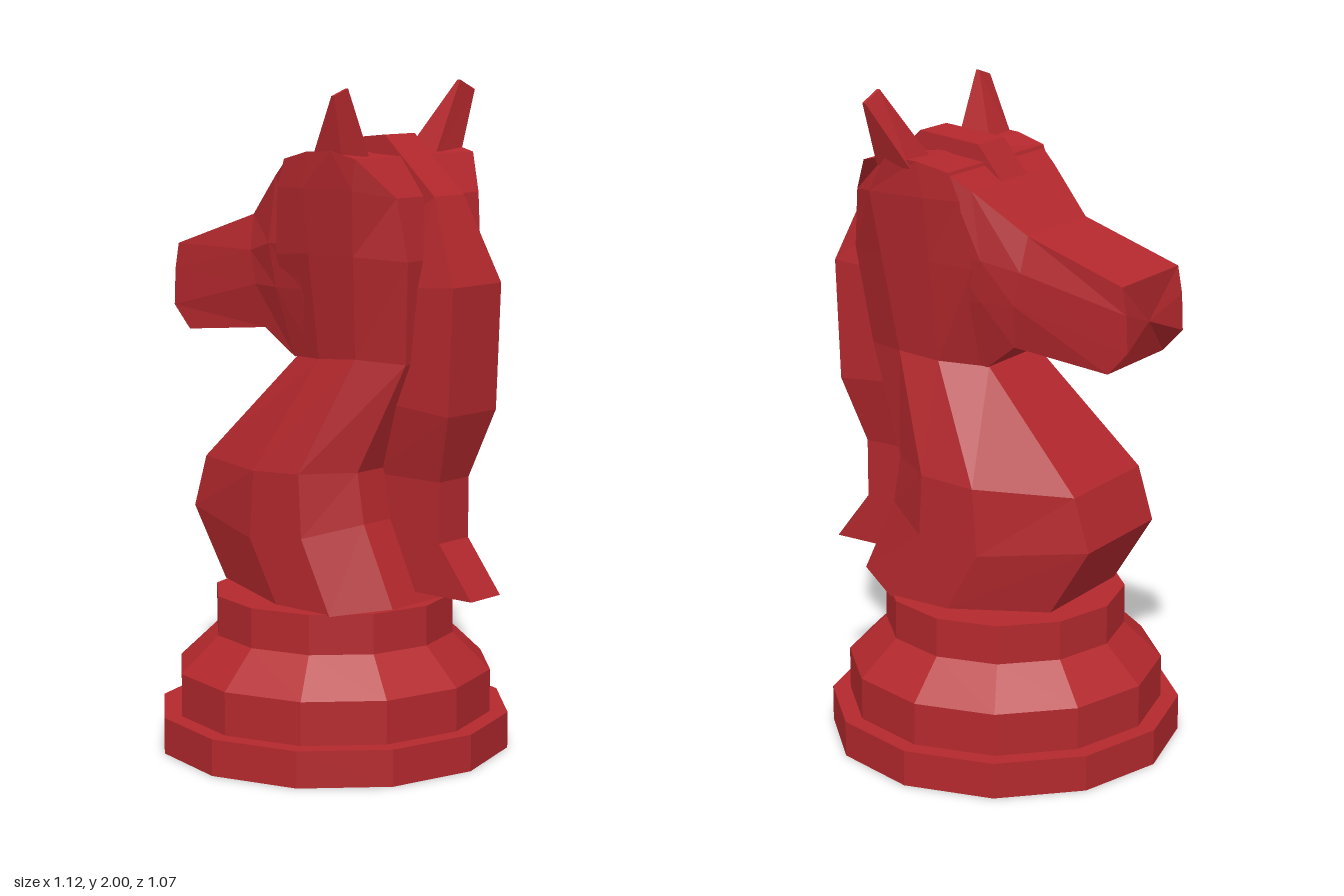
import * as THREE from 'three';

const material = new THREE.MeshStandardMaterial({ color: 0xb3282d, flatShading: true });

// Closed skin over a row of rings, with fan caps; winding is set from the signed volume.
function loft(name, rings) {
  const tris = [];
  const n = rings[0].length;
  const centre = (ring) => [0, 1, 2].map((k) => ring.reduce((s, p) => s + p[k], 0) / n);
  const first = rings[0], last = rings[rings.length - 1];
  const c0 = centre(first), c1 = centre(last);
  for (let i = 0; i < n; i++) {
    const j = (i + 1) % n;
    for (let r = 0; r < rings.length - 1; r++) {
      const a = rings[r], b = rings[r + 1];
      tris.push([a[i], a[j], b[j]], [a[i], b[j], b[i]]);
    }
    tris.push([c0, first[j], first[i]], [c1, last[i], last[j]]);
  }
  const v = (p) => new THREE.Vector3(...p);
  const volume = tris.reduce((s, [a, b, c]) => s + v(a).dot(v(b).cross(v(c))), 0);
  const ordered = volume < 0 ? tris.map(([a, b, c]) => [a, c, b]) : tris;
  const geometry = new THREE.BufferGeometry();
  geometry.setAttribute('position', new THREE.Float32BufferAttribute(ordered.flat(2), 3));
  geometry.computeVertexNormals();
  const mesh = new THREE.Mesh(geometry, material);
  mesh.name = name;
  return mesh;
}

// Completes half a ring (z >= 0) with its mirror image.
const mirrored = (half) => [...half, ...half.map(([x, y, z]) => [x, y, -z]).reverse()];

export function createModel() {
  const model = new THREE.Group();
  model.name = 'chessKnight';

  // Stepped twelve-sided base
  const profile = [[0, 0], [0.535, 0], [0.535, 0.11], [0.48, 0.11], [0.48, 0.24],
    [0.365, 0.35], [0.365, 0.47], [0, 0.47]].map(([x, y]) => new THREE.Vector2(x, y));
  const base = new THREE.Mesh(new THREE.LatheGeometry(profile, 12).toNonIndexed(), material);
  base.geometry.computeVertexNormals();
  base.position.x = -0.03;
  base.name = 'base';
  model.add(base);

  // Neck, from chest to crown: front, mid, rear side and back corner of each level
  const neck = [
    [[-0.31, 0.49, 0.18], [-0.01, 0.47, 0.28], [0.2, 0.465, 0.28], [0.36, 0.495, 0.185]],
    [[-0.44, 0.7, 0.18], [-0.115, 0.655, 0.28], [0.09, 0.68, 0.28], [0.25, 0.73, 0.185]],
    [[-0.39, 0.86, 0.18], [-0.1, 0.86, 0.28], [0.08, 0.87, 0.28], [0.225, 0.88, 0.185]],
    [[-0.06, 1.19, 0.13], [0.08, 1.2, 0.19], [0.22, 1.21, 0.19], [0.36, 1.2, 0.13]],
    [[-0.06, 1.5, 0.22], [0.08, 1.51, 0.235], [0.25, 1.51, 0.235], [0.395, 1.5, 0.165]],
    [[-0.03, 1.7, 0.245], [0.08, 1.7, 0.262], [0.27, 1.7, 0.262], [0.37, 1.68, 0.185]],
    [[0, 1.78, 0.25], [0.1, 1.805, 0.265], [0.2, 1.81, 0.275], [0.285, 1.79, 0.265]],
  ];
  model.add(loft('neck', neck.map(mirrored)));

  // Head, from nose to cheeks: brow, upper side, lower side and jaw of each station
  const head = [
    [[-0.525, 1.5, 0.155], [-0.54, 1.42, 0.155], [-0.545, 1.31, 0.155], [-0.48, 1.24, 0.155]],
    [[-0.21, 1.605, 0.155], [-0.2, 1.5, 0.18], [-0.18, 1.4, 0.18], [-0.165, 1.27, 0.155]],
    [[-0.06, 1.73, 0.22], [-0.09, 1.53, 0.22], [-0.08, 1.4, 0.2], [-0.06, 1.19, 0.14]],
    [[0.01, 1.78, 0.25], [0.02, 1.53, 0.23], [0.02, 1.4, 0.2], [0.02, 1.21, 0.15]],
  ];
  model.add(loft('head', head.map(mirrored)));

  // Mane, from forelock to tail: outer x, y, inner x, y, half width
  const mane = [
    [-0.06, 1.73, 0.0, 1.68, 0.067], [0.02, 1.83, 0.05, 1.7, 0.067],
    [0.225, 1.85, 0.2, 1.7, 0.067], [0.41, 1.68, 0.28, 1.6, 0.067],
    [0.515, 1.43, 0.35, 1.42, 0.11], [0.5, 1.06, 0.27, 1.08, 0.11],
    [0.435, 0.86, 0.18, 0.86, 0.067], [0.435, 0.68, 0.2, 0.68, 0.067],
    [0.555, 0.525, 0.33, 0.525, 0.067],
  ];
  model.add(loft('mane', mane.map(([ox, oy, ix, iy, w]) => mirrored([[ox, oy, w], [ix, iy, w]]))));

  // Ears: rectangular foot narrowing to a slanted tip edge, tilted a little differently
  const ear = (name, side, innerTip, outerTip) => {
    const foot = [[0.12, 1.78, 0.145], [0.238, 1.78, 0.145], [0.238, 1.78, 0.265], [0.12, 1.78, 0.265]];
    const tip = [innerTip, innerTip, outerTip, outerTip].map(([y, z], i) =>
      [i === 1 || i === 2 ? 0.232 : 0.222, y, z]);
    const place = (ring) => ring.map(([x, y, z]) => [x, y, z * side]);
    return loft(name, [place(foot), place(tip)]);
  };
  model.add(ear('leftEar', 1, [1.985, 0.235], [1.965, 0.295]));
  model.add(ear('rightEar', -1, [2.0, 0.268], [1.97, 0.338]));

  return model;
}
